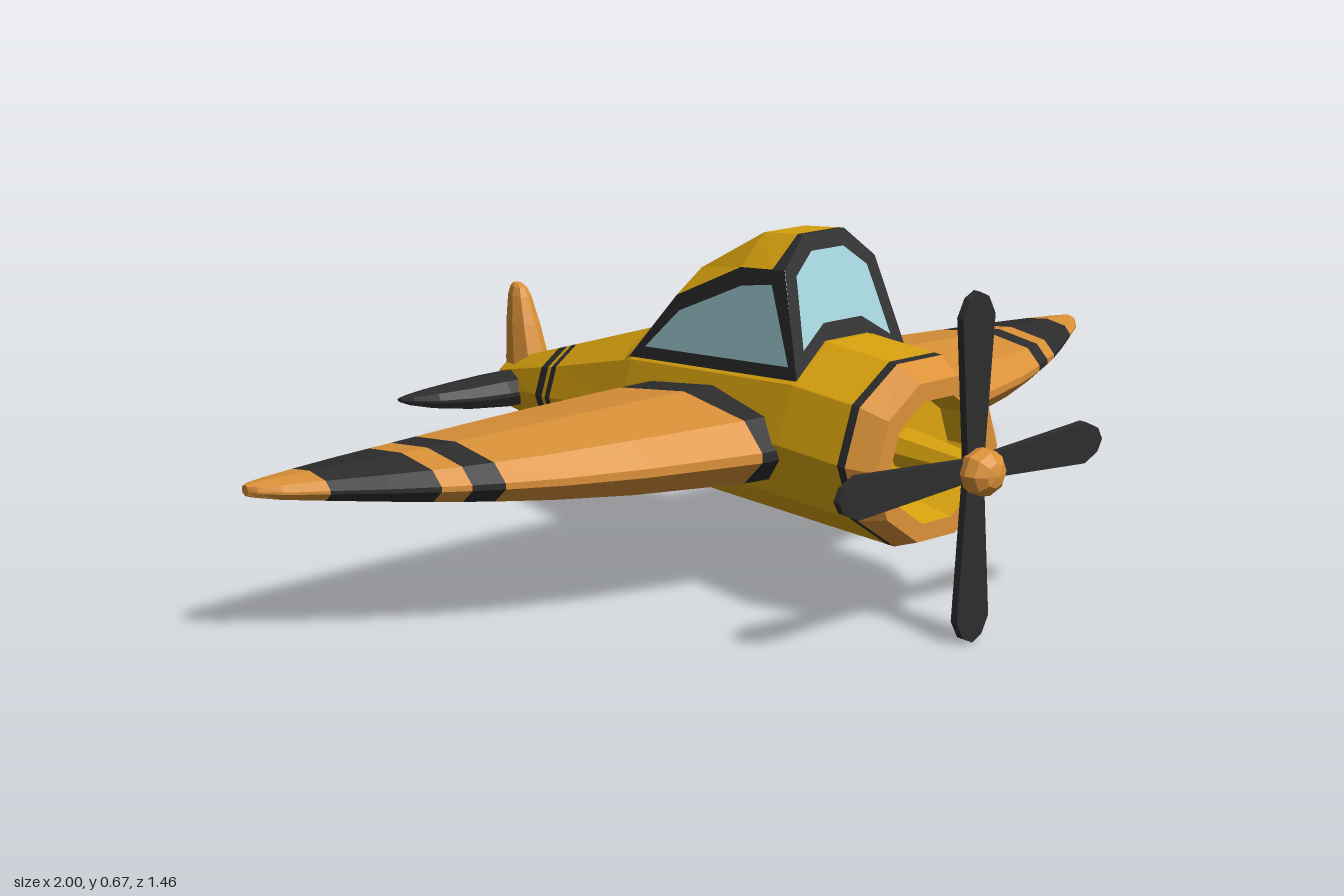
import * as THREE from 'three';

const material = (name, color) => {
  const m = new THREE.MeshStandardMaterial({ color });
  m.name = name;
  return m;
};

// Skins a list of closed rings with flat faces; colours[i] paints the band between ring i and i + 1.
function loft(name, rings, colours, { startCap, endCap } = {}) {
  const mats = [], verts = [], geo = new THREE.BufferGeometry();
  const paint = (mat, tris) => {
    if (!mats.includes(mat)) mats.push(mat);
    geo.addGroup(verts.length / 3, tris.length, mats.indexOf(mat));
    tris.forEach((p) => verts.push(...p));
  };
  const fan = (ring, reverse) => {
    const c = [0, 1, 2].map((k) => ring.reduce((s, p) => s + p[k], 0) / ring.length);
    return ring.flatMap((p, j) => {
      const q = ring[(j + 1) % ring.length];
      return reverse ? [c, q, p] : [c, p, q];
    });
  };
  for (let i = 0; i < rings.length - 1; i++) {
    const a = rings[i], b = rings[i + 1];
    paint(colours[i], a.flatMap((p, j) => {
      const k = (j + 1) % a.length;
      return [p, a[k], b[k], p, b[k], b[j]];
    }));
  }
  if (startCap) paint(startCap, fan(rings[0], true));
  if (endCap) paint(endCap, fan(rings[rings.length - 1], false));
  geo.setAttribute('position', new THREE.Float32BufferAttribute(verts, 3));
  geo.computeVertexNormals();
  const mesh = new THREE.Mesh(geo, mats);
  mesh.name = name;
  return mesh;
}

const mirror = (ring) => ring.map(([x, y, z]) => [-x, y, z]).reverse();

// Linear lookup in a table of rows sorted by their first column.
function lookup(table, t) {
  let i = 0;
  while (i < table.length - 2 && t > table[i + 1][0]) i++;
  const a = table[i], b = table[i + 1], f = (t - a[0]) / (b[0] - a[0]);
  return a.map((v, k) => v + (b[k] - v) * f);
}

// Lens-shaped wing section: [span, leading z, trailing z, half thickness]
function foil([x, lead, trail, half], y) {
  const top = [[1, 0.15], [0.92, 0.6], [0.5, 1], [0.12, 0.75], [0.01, 0.12]];
  const point = ([t, h]) => [x, y + h * half, lead + (trail - lead) * t];
  return [...top.map(point), ...top.slice().reverse().map(([t, h]) => point([t, -h]))];
}

function faceted(name, geometry, mat) {
  const geo = geometry.toNonIndexed();
  geo.computeVertexNormals();
  const mesh = new THREE.Mesh(geo, mat);
  mesh.name = name;
  return mesh;
}

export function createModel() {
  const yellow = material('yellow paint', 0xdca50f);
  const orange = material('orange paint', 0xdc9239);
  const dark = material('dark trim', 0x2d2d2d);
  const glass = material('pale blue glass', 0xa2d2da);
  const plane = new THREE.Group();
  plane.name = 'airplane';

  // Ten-sided fuselage: [z, top, bottom, half width]
  const hull = [
    [-0.70, 0.245, 0.145, 0.046], [-0.45, 0.325, 0.13, 0.1], [-0.15, 0.422, 0.132, 0.138],
    [0.35, 0.485, 0.146, 0.17], [0.53, 0.48, 0.15, 0.172], [0.58, 0.453, 0.168, 0.145],
  ];
  const decagon = ([z, top, bottom, w]) => Array.from({ length: 10 }, (_, i) => {
    const a = (i + 0.5) * Math.PI / 5;
    const h = (top - bottom) / 2 / Math.cos(Math.PI / 10);
    return [w * Math.sin(a), (top + bottom) / 2 + h * Math.cos(a), z];
  });
  const stations = [0.58, 0.53, 0.51, 0.35, -0.15, -0.434, -0.453, -0.469, -0.5, -0.70];
  plane.add(loft('fuselage', [
    decagon([0.5, 0.41, 0.21, 0.1]), decagon([0.58, 0.42, 0.2, 0.112]),
    ...stations.map((z) => decagon(lookup(hull, z))),
  ], [yellow, orange, orange, dark, yellow, yellow, yellow, dark, yellow, dark, yellow],
  { startCap: yellow, endCap: yellow }));

  const tailCone = faceted('tailCone', new THREE.SphereGeometry(0.036, 8, 6), yellow);
  tailCone.position.set(0, 0.195, -0.694);
  plane.add(tailCone);

  // Canopy roof fairing, with a dark front rim: [z, shoulder x, shoulder y, top x, top y, shoulder z]
  const roof = [
    [0.275, 0.107, 0.613, 0.048, 0.668, 0.294], [0.26, 0.107, 0.609, 0.048, 0.666, 0.26],
    [0.168, 0.103, 0.598, 0.048, 0.655, 0.168], [-0.016, 0.1055, 0.515, 0.046, 0.559, -0.016],
    [-0.148, 0.118, 0.374, 0.045, 0.427, -0.148], [-0.23, 0.09, 0.33, 0.04, 0.385, -0.23],
  ].map(([z, sx, sy, tx, ty, sz]) => [[-sx, sy, sz], [-tx, ty, z], [tx, ty, z], [sx, sy, sz]]);
  plane.add(loft('canopyRoof', roof, [dark, yellow, yellow, yellow, yellow], { endCap: yellow }));

  // Side windows lie on one slanted plane per side
  const onSide = ([z, y]) => [0.107 + (0.613 - y) * 0.13 + (z - 0.28) * 0.048, y, z];
  const frame = [[-0.148, 0.374], [-0.016, 0.515], [0.168, 0.598], [0.294, 0.613], [0.36, 0.428]].map(onSide);
  const pane = [[-0.1, 0.402], [-0.004, 0.488], [0.176, 0.566], [0.262, 0.582], [0.332, 0.448]].map(onSide);
  plane.add(loft('leftWindow', [frame, pane], [dark], { endCap: glass }));
  plane.add(loft('rightWindow', [mirror(frame), mirror(pane)], [dark], { endCap: glass }));

  // Windscreen, arched along its lower edge
  const screen = (half) => {
    const ring = half.map(([x, y]) => [x, y, 0.275 + (0.668 - y) * 0.35]);
    return [...ring, ...mirror(ring)];
  };
  plane.add(loft('windscreen', [
    screen([[0.05, 0.485], [0.135, 0.428], [0.107, 0.613], [0.048, 0.668]]),
    screen([[0.045, 0.515], [0.104, 0.475], [0.084, 0.6], [0.038, 0.638]]),
  ], [dark], { endCap: glass }));

  // Wings with painted bands
  const wing = [
    [0.08, 0.355, -0.105, 0.08], [0.2, 0.345, -0.107, 0.077], [0.41, 0.292, -0.109, 0.066],
    [0.55, 0.243, -0.109, 0.055], [0.66, 0.192, -0.107, 0.045], [0.77, 0.128, -0.105, 0.035],
    [0.87, 0.058, -0.1, 0.026], [0.96, -0.005, -0.09, 0.017], [0.99, -0.035, -0.083, 0.013], [1, -0.055, -0.075, 0.01],
  ];
  const spans = [0.08, 0.197, 0.41, 0.55, 0.645, 0.695, 0.74, 0.81, 0.895, 0.96, 0.99, 1];
  const bands = [dark, orange, orange, orange, dark, orange, dark, dark, orange, orange, orange];
  const wingRings = spans.map((x) => foil(lookup(wing, x), 0.295));
  plane.add(loft('leftWing', wingRings, bands, { endCap: orange }));
  plane.add(loft('rightWing', wingRings.map(mirror), bands, { endCap: orange }));

  // Tailplane
  const tailRings = [
    [0.02, -0.578, -0.705, 0.036], [0.09, -0.583, -0.705, 0.035], [0.17, -0.6, -0.705, 0.028],
    [0.23, -0.63, -0.705, 0.02], [0.27, -0.665, -0.704, 0.011], [0.287, -0.688, -0.703, 0.004],
  ].map((s) => foil(s, 0.203));
  const tailPaint = Array(5).fill(dark);
  plane.add(loft('leftTailplane', tailRings, tailPaint, { endCap: dark }));
  plane.add(loft('rightTailplane', tailRings.map(mirror), tailPaint, { endCap: dark }));

  // Upright fin
  const fin = loft('fin', [
    [0.2, -0.582, -0.705, 0.036], [0.25, -0.594, -0.707, 0.035], [0.33, -0.622, -0.708, 0.027],
    [0.385, -0.645, -0.706, 0.018], [0.403, -0.656, -0.7, 0.012], [0.41, -0.67, -0.693, 0.007],
  ].map((s) => foil(s, 0)), Array(5).fill(orange), { endCap: orange });
  fin.rotation.z = Math.PI / 2;
  plane.add(fin);

  // Propeller: shaft, spinner and four blades
  const propeller = new THREE.Group();
  propeller.name = 'propeller';
  propeller.position.y = 0.313;
  const shaft = faceted('shaft', new THREE.CylinderGeometry(0.026, 0.039, 0.18, 8), yellow);
  shaft.rotation.x = Math.PI / 2;
  shaft.position.z = 0.58;
  const spinner = faceted('spinner', new THREE.SphereGeometry(0.044, 8, 6), orange);
  spinner.rotation.x = Math.PI / 2;
  spinner.scale.y = 0.88;
  spinner.position.z = 0.691;
  propeller.add(shaft, spinner);
  const outline = [[0.02, 0.02], [0.038, 0.27], [0.022, 0.302], [0, 0.313]];
  const blade = new THREE.Shape([...outline, ...outline.slice(0, 3).reverse().map(([x, y]) => [-x, y])]
    .map(([x, y]) => new THREE.Vector2(x, y)));
  const bladeGeo = new THREE.ExtrudeGeometry(blade, { depth: 0.015, bevelEnabled: false });
  for (let i = 0; i < 4; i++) {
    const mesh = new THREE.Mesh(bladeGeo, dark);
    mesh.name = 'blade';
    mesh.position.z = 0.66;
    mesh.rotation.z = i * Math.PI / 2;
    propeller.add(mesh);
  }
  plane.add(propeller);
  return plane;
}
